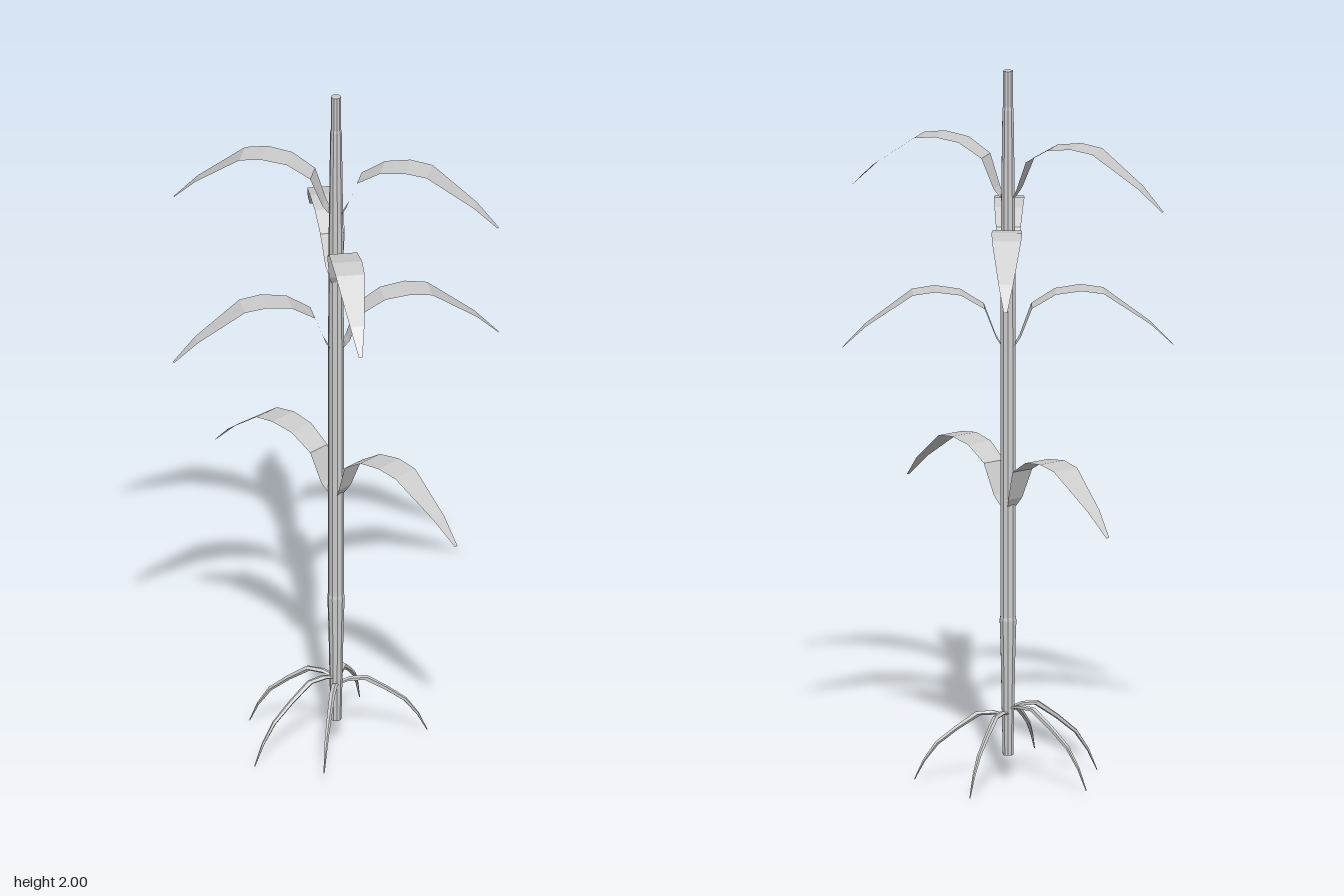
import * as THREE from 'three';

export function createModel() {
  const plant = new THREE.Group();
  plant.name = 'plant';
  const grey = new THREE.MeshStandardMaterial({ color: 0xcccccc, flatShading: true, side: THREE.DoubleSide });
  grey.name = 'pale grey';

  const add = (name, geometry) => {
    const mesh = new THREE.Mesh(geometry, grey);
    mesh.name = name;
    plant.add(mesh);
    return mesh;
  };

  // Surface through equal-sized rows of points
  function loft(rows, closed) {
    const n = rows[0].length, index = [];
    for (let i = 0; i < rows.length - 1; i++) {
      for (let j = 0; j < (closed ? n : n - 1); j++) {
        const a = i * n + j, b = i * n + (j + 1) % n;
        index.push(a, b, b + n, a, b + n, a + n);
      }
    }
    const g = new THREE.BufferGeometry();
    g.setAttribute('position', new THREE.Float32BufferAttribute(rows.flat(2), 3));
    g.setIndex(index);
    g.computeVertexNormals();
    return g;
  }

  // Tapered stalk
  const stalk = [[0, 0.07], [0.015, 0.07], [0.018, 0.2], [0.021, 0.36], [0.024, 0.45], [0.022, 0.46],
    [0.022, 1.2], [0.02, 1.6], [0.018, 1.75], [0.016, 1.89], [0.014, 1.9], [0.014, 2], [0, 2]];
  add('stalk', new THREE.LatheGeometry(stalk.map(p => new THREE.Vector2(...p)), 10));

  // Arching leaf along +z: distance out, height relative to crest, half width
  const leafRows = [[0.018, -0.16, 0.015], [0.033, -0.135, 0.024], [0.065, -0.05, 0.034], [0.13, -0.01, 0.039],
    [0.2, 0, 0.042], [0.262, -0.009, 0.04], [0.39, -0.1, 0.02], [0.454, -0.163, 0.005]];
  const leaf = loft(leafRows.map(([r, y, w]) => [[-w, y, r], [w, y, r]]), false);

  // Four tiers of opposite leaves: crest height and horizontal direction
  for (const [y, x, z] of [[0.934, 0, 1], [1.386, 0.37, 0.26], [1.592, 0.28, -0.36], [1.804, 0.24, 0.385]]) {
    for (const side of [0, Math.PI]) {
      const mesh = add('leaf', leaf);
      mesh.position.y = y;
      mesh.rotation.y = Math.atan2(x, z) + side;
    }
  }

  // Prop roots: tip x, tip z, tip height, start height
  const rootRows = [[0, 0, 0.009], [0.14, 0.05, 0.009], [0.32, 0.04, 0.0085], [0.55, -0.18, 0.007],
    [0.76, -0.42, 0.006], [0.9, -0.7, 0.004], [1, -1, 0.0015]];
  const roots = [[-0.26, -0.06, 0, 0.2], [0.225, -0.125, 0.005, 0.185], [-0.2, 0.145, 0.03, 0.18],
    [-0.08, -0.25, 0.005, 0.2], [0.215, 0.14, 0.005, 0.18]];
  for (const [x, z, tip, top] of roots) {
    const length = Math.hypot(x, z), sides = 5;
    const rows = rootRows.map(([t, h, r]) => {
      const y = top + (h < 0 ? h * (top - tip) : h * 0.2);
      return Array.from({ length: sides }, (_, j) => {
        const a = j / sides * Math.PI * 2;
        return [Math.cos(a) * r, y + Math.sin(a) * r * 0.7, t * length + Math.sin(a) * r * 0.7];
      });
    });
    const mesh = add('root', loft(rows, true));
    mesh.rotation.y = Math.atan2(x, z);
  }
  return plant;
}
